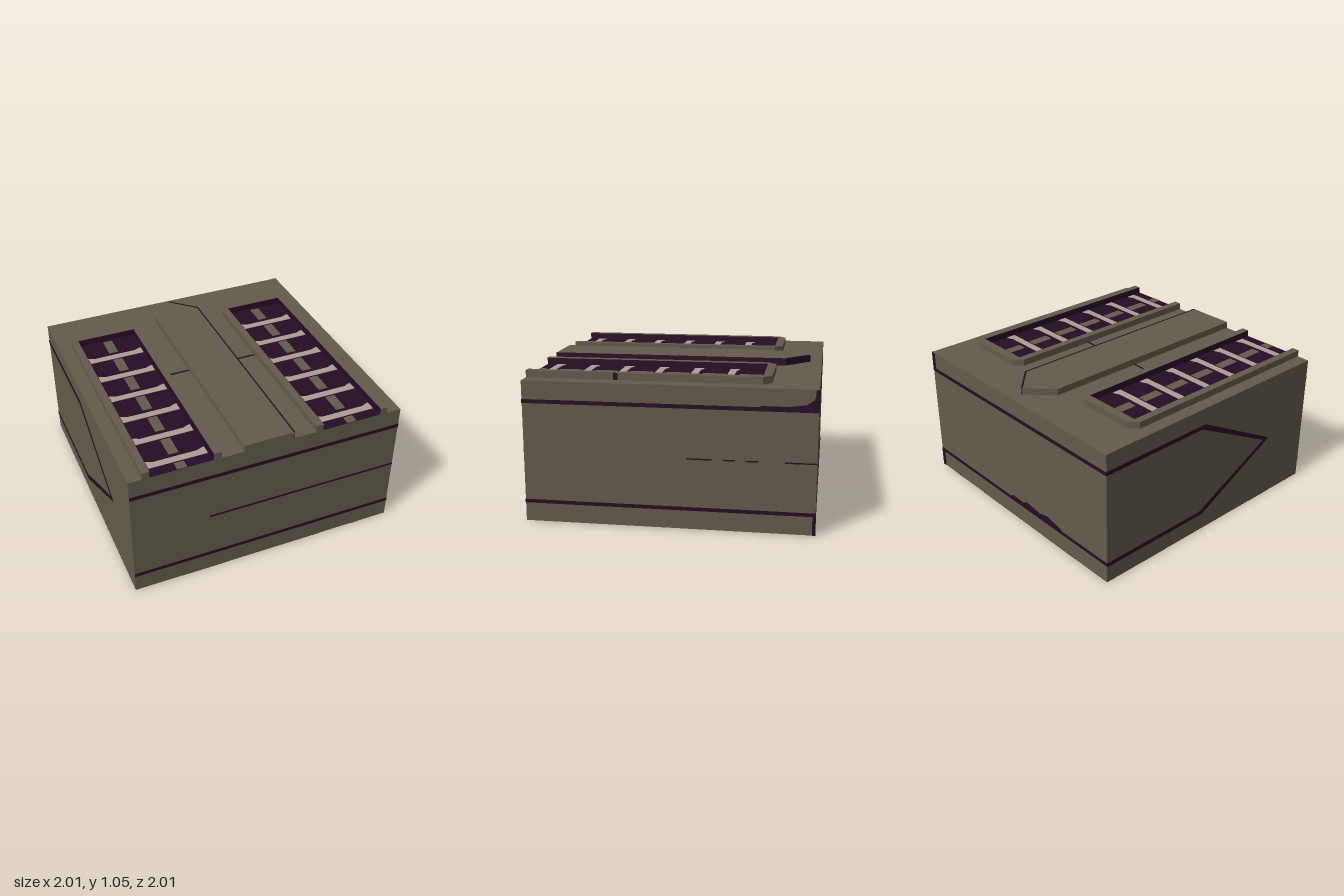
import * as THREE from 'three';

export function createModel() {
  const model = new THREE.Group();
  model.name = 'panelBlock';

  const material = (name, color) => {
    const m = new THREE.MeshStandardMaterial({ color });
    m.name = name;
    return m;
  };
  const stone = material('brownGrey', 0x645c4d);
  const dark = material('darkPlum', 0x250d25);
  const pale = material('paleBar', 0xab9e96);

  const add = (name, geometry, mat) => {
    const mesh = new THREE.Mesh(geometry, mat);
    mesh.name = name;
    model.add(mesh);
    return mesh;
  };
  // Box given by its extents
  const box = (name, mat, x0, x1, y0, y1, z0, z1) => {
    const g = new THREE.BoxGeometry(x1 - x0, y1 - y0, z1 - z0);
    g.translate((x0 + x1) / 2, (y0 + y1) / 2, (z0 + z1) / 2);
    return add(name, g, mat);
  };
  const prism = (points, depth) => new THREE.ExtrudeGeometry(
    new THREE.Shape(points.map(([x, y]) => new THREE.Vector2(x, y))),
    { depth, bevelEnabled: false });
  // Plan outline [x, z] raised from y0 to y1
  const slab = (name, mat, points, y0, y1) => {
    const g = prism(points.map(([x, z]) => [x, -z]), y1 - y0);
    g.rotateX(-Math.PI / 2).translate(0, y0, 0);
    return add(name, g, mat);
  };
  const T = 0.003; // painted plate thickness

  // Main block
  box('block', stone, -1, 1, 0.004, 1, -1, 1);

  // Horizontal seams on the front, back and +x faces
  for (const [y0, y1] of [[0.135, 0.16], [0.845, 0.872]]) {
    box('frontSeam', dark, -1, 1, y0, y1, 1, 1 + T);
    box('backSeam', dark, -1, 1, y0, y1, -1 - T, -1);
    box('leftSeam', dark, 1, 1 + T, y0, y1, -1, 1);
  }
  box('frontMiddleSeam', dark, -0.44, 1, 0.497, 0.511, 1, 1 + T);
  for (const [z0, z1] of [[-1, -0.79], [-0.61, -0.53], [-0.46, -0.38], [-0.3, -0.13]]) {
    box('leftMiddleSeam', dark, 1, 1 + T, 0.496, 0.505, z0, z1);
  }

  // Dark corner strips above and below the seams
  for (const [y0, y1] of [[0.004, 0.15], [0.86, 1]]) {
    box('leftCornerStrip', dark, 1, 1 + T, y0, y1, -1, -0.98);
    box('backCornerStrip', dark, 0.965, 1, y0, y1, -1 - T, -1);
  }
  // Worn patches beside the seams
  const wear = prism([[0.62, 0.865], [0.9, 0.865], [0.99, 0.865], [0.99, 1],
    [0.97, 0.93], [0.92, 0.895], [0.8, 0.88], [0.62, 0.88]], T * 1.2);
  wear.rotateY(Math.PI / 2).translate(1, 0, 0);
  add('leftWornPatch', wear, dark);
  const chips = prism([[-0.55, 0.15], [0.08, 0.15], [0.04, 0.18], [-0.08, 0.175],
    [-0.13, 0.2], [-0.28, 0.18], [-0.36, 0.2], [-0.5, 0.175]], T * 1.2);
  chips.translate(0, 0, -1 - T * 1.2);
  add('backWornPatch', chips, dark);

  // Arrow-shaped seam on the -x face, as [z, y]
  const arrow = prism([[-1, 0.875], [-0.1, 0.875], [0.6, 0.495], [-0.1, 0.13], [-1, 0.13],
    [-1, 0.16], [-0.13, 0.16], [0.54, 0.497], [-0.13, 0.845], [-1, 0.845]], T);
  arrow.rotateY(-Math.PI / 2).translate(-1, 0, 0);
  add('rightArrowSeam', arrow, dark);

  // Pointed central ridge with a dark +x edge
  const top = 1.05;
  slab('centralRidge', stone,
    [[-0.19, 1], [0.175, 1], [0.175, -0.735], [-0.01, -0.91], [-0.19, -0.735]], 1, top);
  slab('ridgeDarkEdge', dark,
    [[-0.012, -0.913], [0.178, -0.737], [0.178, 0.999], [0.168, 0.999], [0.168, -0.728], [-0.012, -0.897]],
    1, top + 0.002);

  // Bar with ends flared towards -z
  const bar = (x0, x1, z, w) => [[x0, z + w], [x1, z + w], [x1, z - w * 1.6],
    [x1 - w * 0.7, z - w * 1.5], [x1 - w * 2, z - w * 0.9], [x0 + w * 2, z - w * 0.9],
    [x0 + w * 0.7, z - w * 1.5], [x0, z - w * 1.6]];

  // Two framed grilles, open at the front
  for (const cx of [-0.63, 0.615]) {
    const o = 0.275, i = 0.222, c = 0.06, zo = -0.685, zi = -0.625;
    slab('grilleFrame', stone, [[cx - o, 1], [cx - i, 1], [cx - i, zi], [cx + i, zi], [cx + i, 1],
      [cx + o, 1], [cx + o, zo + c], [cx + o - c, zo], [cx - o + c, zo], [cx - o, zo + c]], 1, top);
    box('grilleFloor', dark, cx - i, cx + i, 1, 1.003, zi, 0.999);
    box('grilleBackWall', dark, cx - i, cx + i, 1, top - 0.001, zi, zi + T);
    for (const s of [-1, 1]) {
      const a = cx + s * i, b = cx + s * (i - T);
      box('grilleSideWall', dark, Math.min(a, b), Math.max(a, b), 1, top - 0.001, zi, 0.999);
    }
    for (let k = 0; k < 7; k++) {
      const z = -0.385 + k * 0.256;
      if (k < 6) slab('grilleBar', pale, bar(cx - 0.21, cx + 0.21, z, 0.027), 1.003, 1.006);
      const z0 = Math.max(z - 0.216, -0.615);
      box('grilleSpine', stone, cx - 0.035, cx + 0.035, 1.003, 1.006, z0, Math.min(z - 0.055, 0.999));
    }
  }
  // Short cross seams between ridge and grilles
  box('crossSeamRight', dark, -0.355, -0.19, 1, 1.002, -0.015, 0);
  box('crossSeamLeft', dark, 0.175, 0.34, 1, 1.002, -0.015, 0);
  box('frameMark', dark, 0.89, 0.893, 1, top, 0.355, 0.385);

  // Underside: dark field, stripe, large bars and blocks
  box('undersideStripe', dark, 0.7, 0.78, 0.002, 0.004, -1, 1);
  box('undersideField', dark, -1, 0.45, 0.002, 0.004, -1, 1);
  for (const z of [-0.57, 0.52]) {
    slab('undersideBar', pale, bar(-1.17, 0.34, z, 0.11).map(([x, w]) =>
      [Math.max(x, -1), x < -0.9 ? Math.max(w, z - 0.1) : w]), 0, 0.002);
  }
  for (const [z0, z1] of [[-1, -0.72], [-0.39, 0.29], [0.72, 1]]) {
    box('undersideBlock', stone, -0.66, -0.3, 0, 0.002, z0, z1);
  }
  return model;
}
